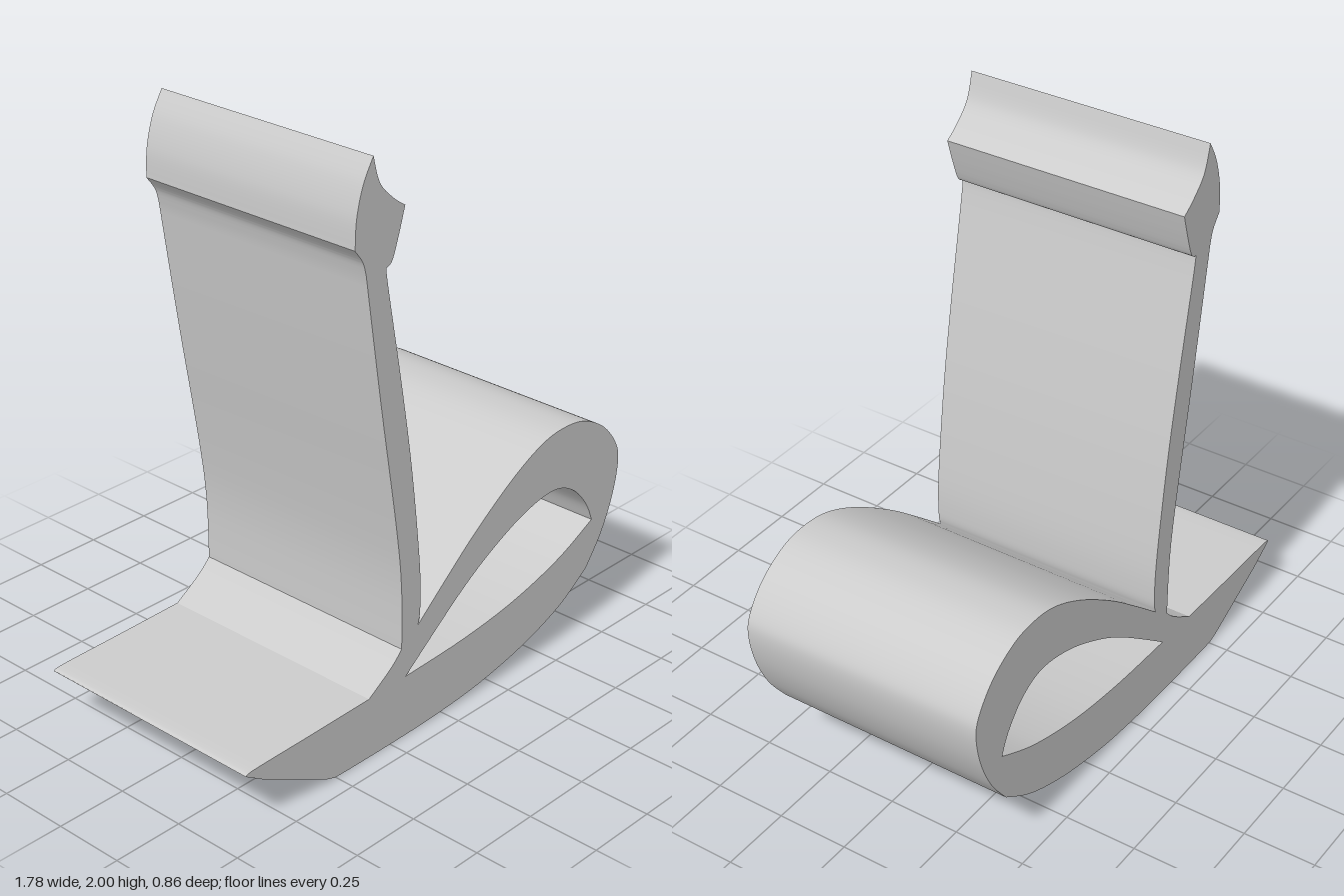
import * as THREE from 'three';
import { toCreasedNormals } from 'three/addons/utils/BufferGeometryUtils.js';

const DEPTH = 0.86;

// Draws runs that meet at sharp corners: two-number runs are lines, longer ones smooth splines.
function trace(path, start, runs) {
  path.moveTo(...start);
  for (const run of runs) {
    if (run.length === 1) path.lineTo(...run[0]);
    else path.splineThru(run.map(([x, y]) => new THREE.Vector2(x, y)));
  }
  return path;
}

export function createModel() {
  const group = new THREE.Group();
  group.name = 'swanStand';

  // Outline, counterclockwise from the pointed tip of the base
  const outline = trace(new THREE.Shape(), [-0.89, 0.2], [
    [[-0.8, 0.144]],                                                    // tip underside
    [[-0.55, 0.02]],
    [[-0.52, 0.009], [-0.47, 0.003], [-0.2, 0.003], [0, 0.01], [0.2, 0.03],
      [0.42, 0.077], [0.6, 0.144], [0.735, 0.23]],                      // curved bottom
    [[0.81, 0.335], [0.865, 0.46], [0.888, 0.58], [0.87, 0.655], [0.8, 0.74],
      [0.7, 0.798], [0.6, 0.816], [0.48, 0.8], [0.33, 0.73], [0.15, 0.61],
      [0, 0.49], [-0.125, 0.385]],                                      // loop back and top
    [[-0.115, 0.44], [-0.12, 0.6], [-0.16, 0.93], [-0.21, 1.23], [-0.28, 1.6],
      [-0.282, 1.645]],                                                 // stem, loop side
    [[-0.26, 1.66], [-0.235, 1.725], [-0.207, 1.815]],                  // head, lower right
    [[-0.26, 1.853], [-0.315, 1.912], [-0.343, 2]],                     // head, hollow top
    [[-0.385, 1.925], [-0.412, 1.83], [-0.418, 1.735]],                 // head, left
    [[-0.385, 1.69], [-0.371, 1.645]],
    [[-0.305, 1.22], [-0.23, 0.77], [-0.204, 0.55], [-0.2, 0.33]],      // stem, tip side
    [[-0.25, 0.283], [-0.35, 0.217]],                                   // stem foot
    [[-0.6, 0.212], [-0.85, 0.208], [-0.89, 0.2]],                      // tip top
  ]);

  // Teardrop opening inside the loop
  outline.holes.push(trace(new THREE.Path(), [-0.18, 0.222], [
    [[0.1, 0.235], [0.35, 0.268], [0.58, 0.33], [0.755, 0.41]],
    [[0.72, 0.483], [0.65, 0.56], [0.56, 0.6], [0.45, 0.592], [0.3, 0.54],
      [0.1, 0.43], [-0.18, 0.222]],
  ]));

  const extruded = new THREE.ExtrudeGeometry(outline, {
    depth: DEPTH, bevelEnabled: false, curveSegments: 6,
  });
  extruded.translate(0, 0, -DEPTH / 2);

  const body = new THREE.Mesh(
    toCreasedNormals(extruded, Math.PI / 8),
    new THREE.MeshStandardMaterial({ color: 0xcccccc }),
  );
  body.name = 'loopedBody';
  group.add(body);
  return group;
}
